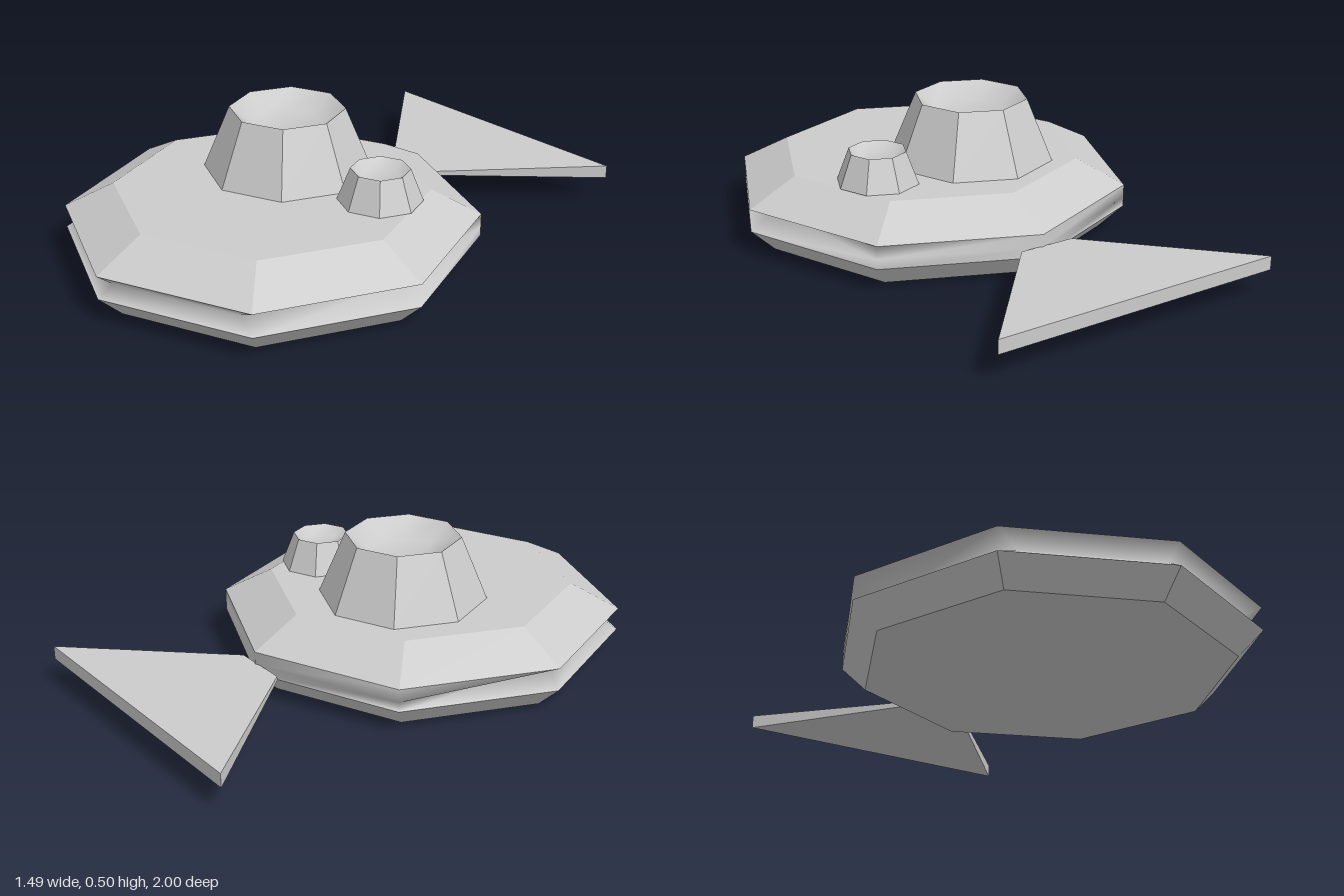
import * as THREE from 'three';

const flat = new THREE.MeshStandardMaterial({ color: 0xcccccc, flatShading: true });
const smooth = new THREE.MeshStandardMaterial({ color: 0xcccccc });

// Octagon ring with a corner pointing to +z
function ring(r, y, cz = 0) {
  return Array.from({ length: 8 }, (_, i) => {
    const a = (i * Math.PI) / 4;
    return [r * Math.sin(a), y, cz + r * Math.cos(a)];
  });
}

// Skin over successive rings, with optional end caps
function loft(name, rings, material, { bottom = false, top = false } = {}) {
  const pos = rings.flat(2), idx = [], n = 8;
  for (let k = 0; k < rings.length - 1; k++) {
    for (let i = 0; i < n; i++) {
      const a = k * n + i, b = k * n + ((i + 1) % n);
      idx.push(a, b, b + n, a, b + n, a + n);
    }
  }
  const last = (rings.length - 1) * n;
  for (let i = 1; i < n - 1; i++) {
    if (bottom) idx.push(0, i + 1, i);
    if (top) idx.push(last, last + i, last + i + 1);
  }
  const g = new THREE.BufferGeometry();
  g.setAttribute('position', new THREE.Float32BufferAttribute(pos, 3));
  g.setIndex(idx);
  g.computeVertexNormals();
  const mesh = new THREE.Mesh(g, material);
  mesh.name = name;
  return mesh;
}

// Tapered octagonal tower with a shallow dish in its top
function tower(name, x, z, rBase, rTop, rDish, yTop, depth) {
  const g = new THREE.Group();
  g.name = name;
  g.add(
    loft(name + 'Wall', [ring(rBase, 0.265), ring(rTop, yTop)], flat, { bottom: true }),
    loft(name + 'Dish', [ring(rTop, yTop), ring(rDish, yTop - depth)], smooth, { top: true })
  );
  g.position.set(x, 0, z);
  return g;
}

export function createModel() {
  const model = new THREE.Group();
  const cz = 0.25, R = 0.745;

  // Lower and upper hull
  model.add(loft('lowerHull', [ring(0.655, 0, cz), ring(R, 0.088, cz)], flat, { bottom: true }));
  model.add(loft('upperHull', [ring(R, 0.172, cz), ring(0.565, 0.265, cz)], flat, { top: true }));

  // V groove round the rim, fading out to a plain wall at the three rear corners
  const outer = ring(R, 0.124, cz), inner = ring(0.62, 0.124, 0.315);
  const middle = inner.map((p, i) => (i >= 3 && i <= 5 ? outer[i] : p));
  model.add(loft('rimGroove', [ring(R, 0.088, cz), middle, ring(R, 0.172, cz)], smooth));

  // Towers on the deck
  model.add(tower('mainTower', -0.09, 0.095, 0.307, 0.21, 0.13, 0.497, 0.06));
  model.add(tower('smallTower', 0.338, 0.043, 0.151, 0.105, 0.065, 0.383, 0.03));

  // Tail fin, widening and thickening towards the rear
  const fin = new THREE.BoxGeometry(1, 1, 1);
  const p = fin.attributes.position;
  for (let i = 0; i < p.count; i++) {
    const rear = p.getZ(i) < 0;
    p.setXYZ(
      i,
      -0.02 + p.getX(i) * (rear ? 1.1 : 0.21),
      0.118 + p.getY(i) * (rear ? 0.05 : 0.016),
      rear ? -1 : -0.488
    );
  }
  fin.computeVertexNormals();
  const tail = new THREE.Mesh(fin, flat);
  tail.name = 'tailFin';
  model.add(tail);

  return model;
}
